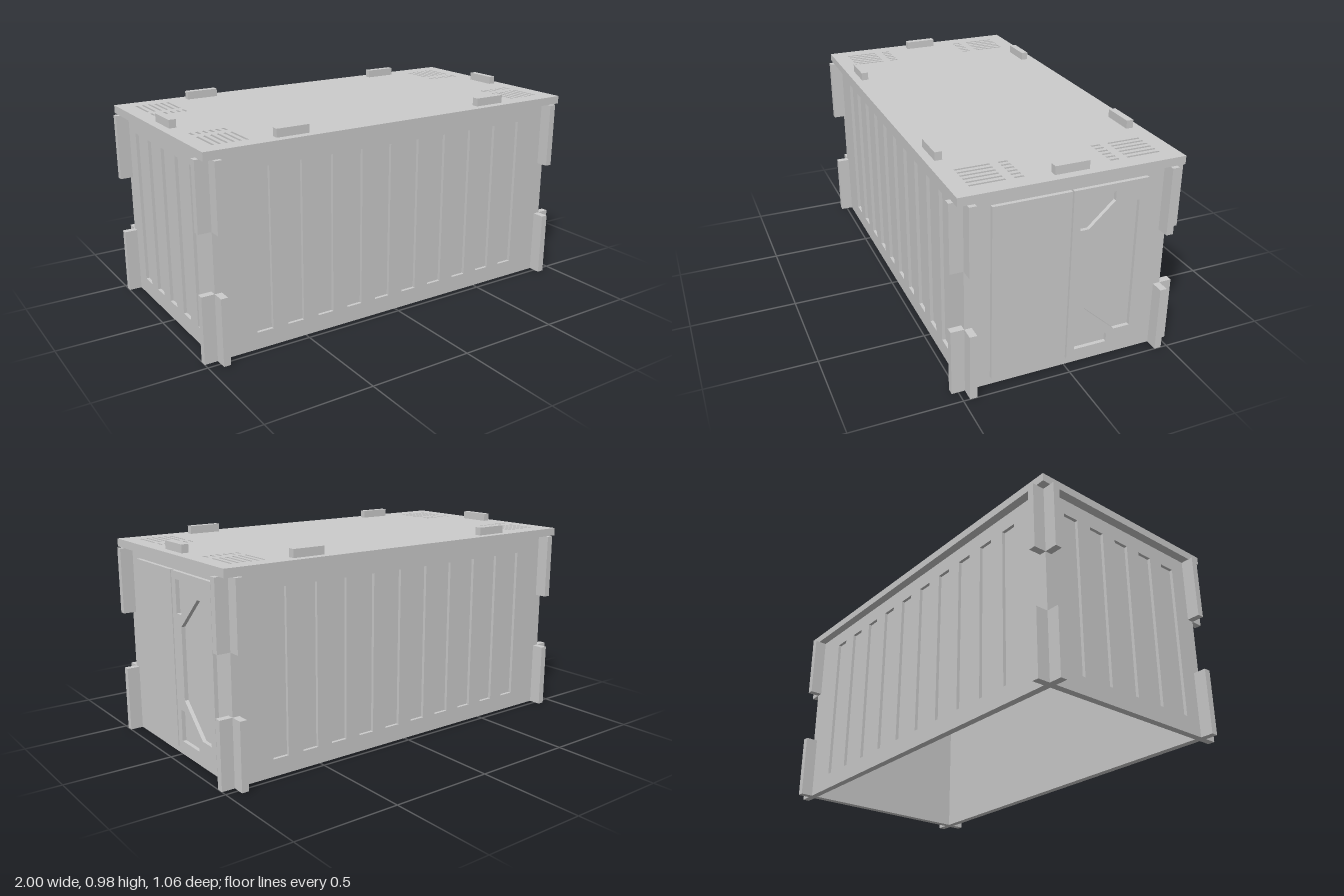
import * as THREE from 'three';

const material = new THREE.MeshStandardMaterial({ color: 0xcccccc, flatShading: true });
const T = 0.033; // panel thickness
const GROOVE = 0.015; // depth of pressed grooves

const points = (list) => list.map(([x, y]) => new THREE.Vector2(x, y));

const rect = (x0, y0, x1, y1) => points([[x0, y0], [x1, y0], [x1, y1], [x0, y1]]);

function slab(name, outline, holes, z, depth) {
  const shape = new THREE.Shape(outline);
  for (const hole of holes) shape.holes.push(new THREE.Path(hole));
  const geometry = new THREE.ExtrudeGeometry(shape, { depth, bevelEnabled: false });
  const mesh = new THREE.Mesh(geometry, material);
  mesh.name = name;
  mesh.position.z = z;
  return mesh;
}

// Panel with blind grooves: a solid backing and a pierced face
function groovedPanel(name, outline, grooves, thickness, depth) {
  const group = new THREE.Group();
  group.name = name;
  group.add(slab(name + 'Backing', outline, [], 0, thickness - depth));
  group.add(slab(name + 'Face', outline, grooves, thickness - depth, depth));
  return group;
}

// Wall outline with interlocking side fingers and tabs along the top
function wallOutline(inner, outer, tabs) {
  const p = [[-outer, 0], [outer, 0], [outer, 0.313], [inner, 0.313], [inner, 0.59], [outer, 0.59], [outer, 0.904]];
  for (const [a, b] of tabs) p.push([b, 0.904], [b, 0.98], [a, 0.98], [a, 0.904]);
  p.push([-outer, 0.904], [-outer, 0.59], [-inner, 0.59], [-inner, 0.313], [-outer, 0.313]);
  return points(p);
}

function ribGrooves(count, pitch) {
  return Array.from({ length: count }, (_, i) => {
    const x = (i - (count - 1) / 2) * pitch;
    return rect(x - 0.04, 0.08, x + 0.04, 0.83);
  });
}

export function createModel() {
  const model = new THREE.Group();
  model.name = 'cargoContainer';

  // Long walls
  const longOutline = wallOutline(0.907, 1, [[0.47, 0.627], [-0.627, -0.47]]);
  for (const side of [1, -1]) {
    const wall = groovedPanel(side > 0 ? 'frontWall' : 'backWall', longOutline, ribGrooves(10, 0.157), T, GROOVE);
    wall.position.z = side * 0.437;
    if (side < 0) wall.rotation.y = Math.PI;
    model.add(wall);
  }

  // Ribbed end wall
  const endOutline = wallOutline(0.47, 0.53, [[-0.078, 0.078]]);
  const ribbedEnd = groovedPanel('ribbedEndWall', endOutline, ribGrooves(5, 0.157), T, GROOVE);
  ribbedEnd.rotation.y = -Math.PI / 2;
  ribbedEnd.position.x = -0.906;
  model.add(ribbedEnd);

  // Door end wall with a pair of raised doors
  const doorEnd = new THREE.Group();
  doorEnd.name = 'doorEndWall';
  doorEnd.add(slab('doorWall', endOutline, [], 0, T));
  for (const s of [1, -1]) {
    const mirror = (list) => points(list.map(([x, y]) => [x * s, y]));
    const recesses = [
      mirror([[0.08, 0.283], [0.236, 0.138], [0.315, 0.138], [0.315, 0.767], [0.236, 0.767], [0.08, 0.62]]),
      mirror([[0.04, 0.674], [0.08, 0.674], [0.2, 0.784], [0.2, 0.827], [0.04, 0.827]]),
      mirror([[0.04, 0.08], [0.2, 0.08], [0.2, 0.12], [0.08, 0.229], [0.04, 0.229]]),
    ];
    const outline = mirror([[0.004, 0.04], [0.355, 0.04], [0.355, 0.863], [0.004, 0.863]]);
    doorEnd.add(slab(s > 0 ? 'rearDoor' : 'frontDoor', outline, recesses, T, 0.018));
  }
  doorEnd.rotation.y = Math.PI / 2;
  doorEnd.position.x = 0.906;
  model.add(doorEnd);

  // Roof with a cluster of vent slots at each corner
  const vents = [];
  for (const sx of [1, -1]) {
    for (const sz of [1, -1]) {
      for (let i = 0; i < 6; i++) {
        const x = sx * (0.741 + i * 0.0312);
        for (const [z0, z1] of [[0.275, 0.43], [0.195, 0.237]]) {
          vents.push(rect(x - 0.006, sz * z0, x + 0.006, sz * z1));
        }
      }
    }
  }
  const roof = groovedPanel('roof', rect(-0.98, -0.51, 0.98, 0.51), vents, 0.038, GROOVE);
  roof.rotation.x = -Math.PI / 2;
  roof.position.y = 0.904;
  model.add(roof);

  return model;
}
